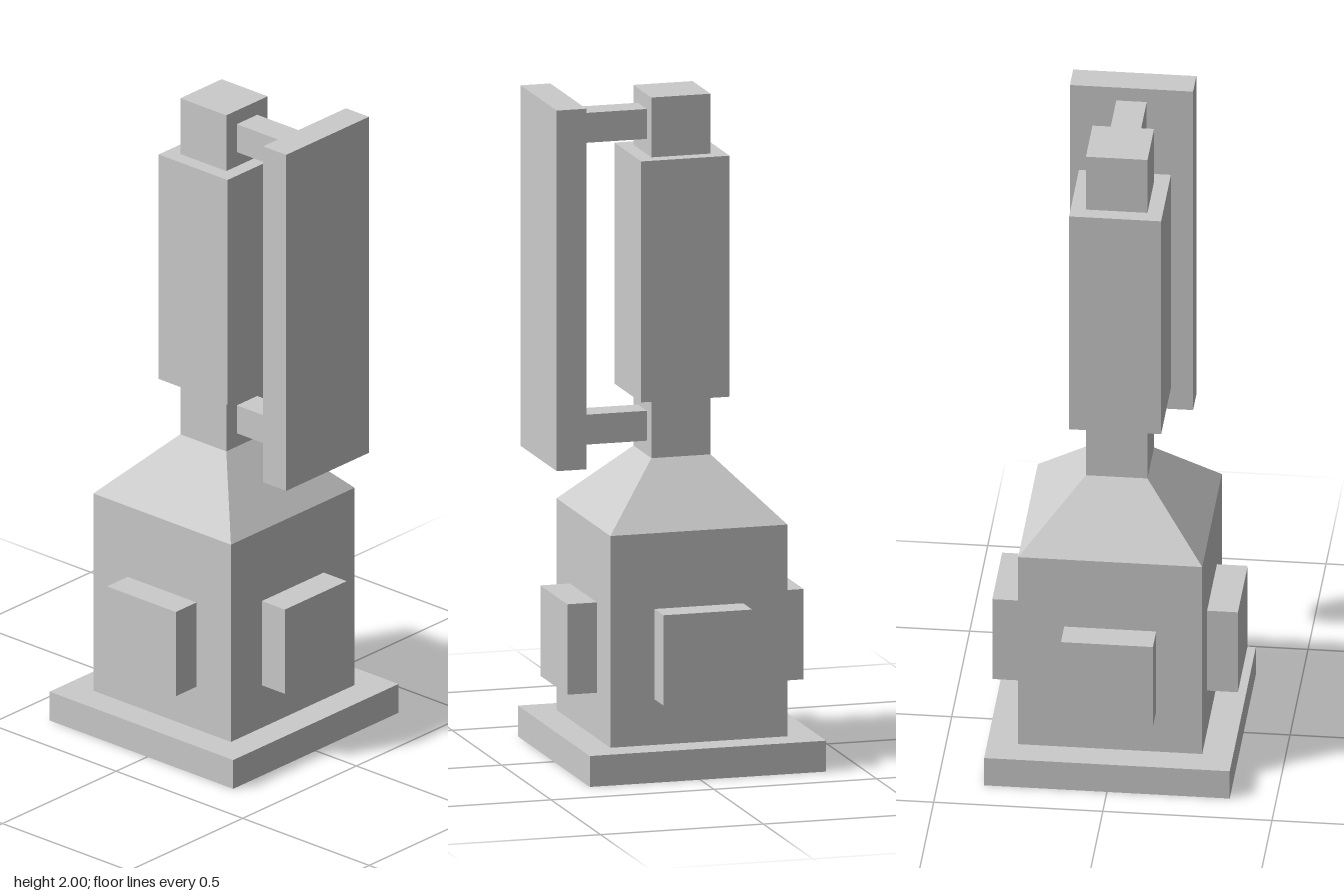
import * as THREE from 'three';

const material = new THREE.MeshStandardMaterial({ color: 0xcccccc, flatShading: true });

// Box given by its extents along each axis
function box(name, [x0, x1], [y0, y1], [z0, z1]) {
  const mesh = new THREE.Mesh(new THREE.BoxGeometry(x1 - x0, y1 - y0, z1 - z0), material);
  mesh.position.set((x0 + x1) / 2, (y0 + y1) / 2, (z0 + z1) / 2);
  mesh.name = name;
  return mesh;
}

// Square block centred on the column axis
const block = (name, half, y0, y1) => box(name, [-half, half], [y0, y1], [-half, half]);

export function createModel() {
  const model = new THREE.Group();
  model.name = 'handle';

  // Everything stacked on the main axis
  const column = new THREE.Group();
  column.name = 'column';
  column.position.z = -0.0235;
  column.add(
    block('basePlate', 0.363, 0, 0.093),
    block('body', 0.272, 0.093, 0.73),
    block('stem', 0.091, 0.915, 2),
    block('grip', 0.136, 1.095, 1.82)
  );

  // Tapered shoulder between body and stem
  const taper = new THREE.CylinderGeometry(0.091 * Math.SQRT2, 0.272 * Math.SQRT2, 0.185, 4);
  taper.rotateY(Math.PI / 4);
  const shoulder = new THREE.Mesh(taper, material);
  shoulder.name = 'shoulder';
  shoulder.position.y = 0.8225;
  column.add(shoulder);

  // Raised pad on each side of the body
  for (let i = 0; i < 4; i++) {
    const side = new THREE.Group();
    side.name = 'sidePad';
    side.rotation.y = (i * Math.PI) / 2;
    side.add(box('pad', [-0.136, 0.136], [0.23, 0.502], [0.272, 0.363]));
    column.add(side);
  }
  model.add(column);

  // Hand guard and the two arms that hold it
  model.add(box('guardPlate', [-0.182, 0.182], [0.915, 2], [0.295, 0.386]));
  for (const y of [0.958, 1.866]) {
    model.add(box('guardArm', [-0.045, 0.045], [y, y + 0.09], [0.067, 0.295]));
  }
  return model;
}
